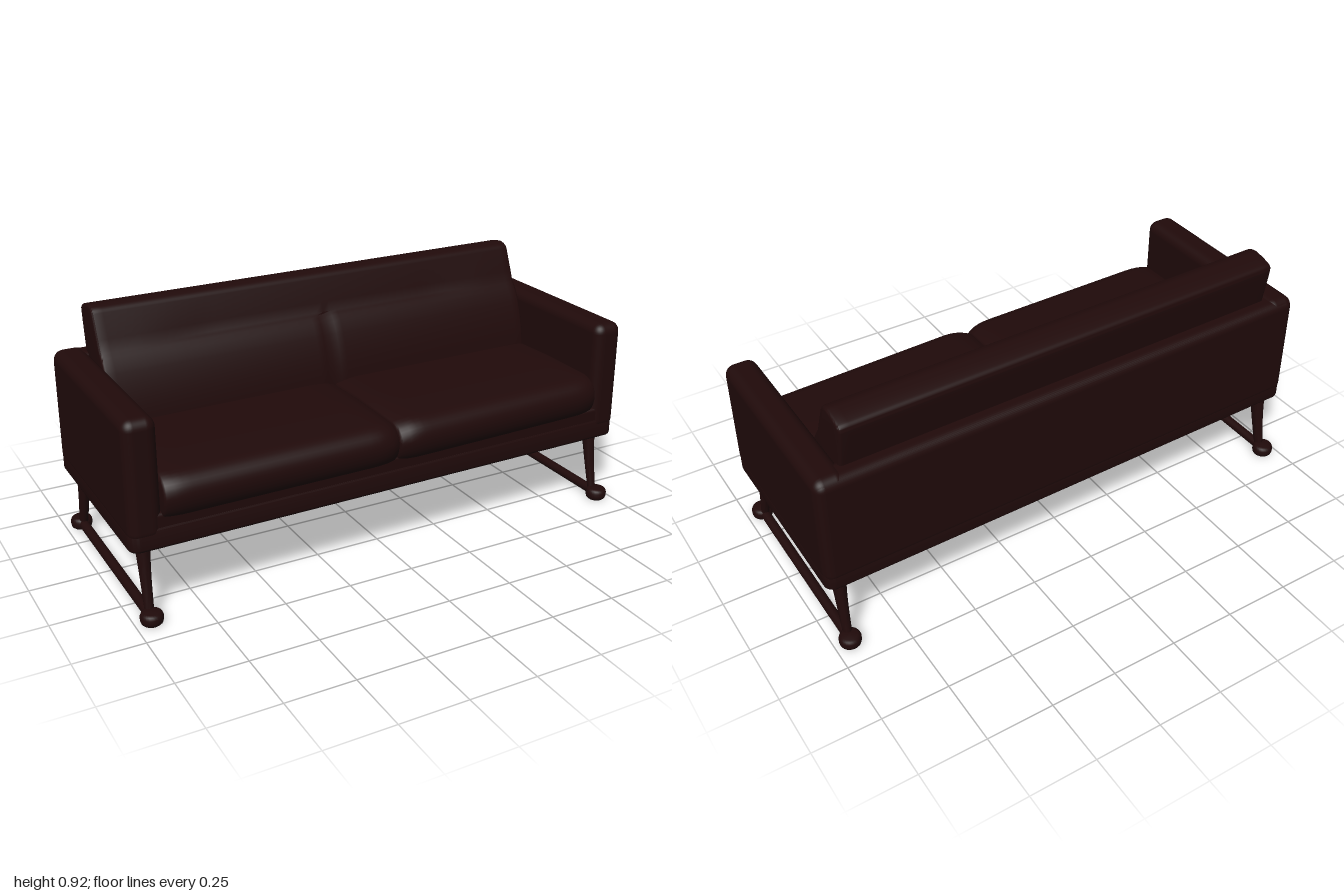
import * as THREE from 'three';
import { RoundedBoxGeometry } from 'three/addons/geometries/RoundedBoxGeometry.js';
import { toCreasedNormals } from 'three/addons/utils/BufferGeometryUtils.js';

const darkBrown = new THREE.MeshStandardMaterial({ color: 0x200a0a });
darkBrown.name = 'darkBrown';

// Move every vertex of a geometry by a rule
function warp(geo, rule) {
  const p = geo.attributes.position;
  const v = new THREE.Vector3();
  for (let i = 0; i < p.count; i++) {
    v.fromBufferAttribute(p, i);
    rule(v);
    p.setXYZ(i, v.x, v.y, v.z);
  }
  return geo;
}

// Rounded block given by its limits on each axis
function block([x0, x1], [y0, y1], [z0, z1], r) {
  return new RoundedBoxGeometry(x1 - x0, y1 - y0, z1 - z0, 4, r)
    .translate((x0 + x1) / 2, (y0 + y1) / 2, (z0 + z1) / 2);
}

// Side profile (z, y) swept along x between two limits, with softened ends
function sweep(shape, [x0, x1], steps, bevel) {
  return new THREE.ExtrudeGeometry(shape, {
    depth: x1 - x0 - 2 * bevel, steps, curveSegments: 8,
    bevelThickness: bevel, bevelSize: bevel, bevelOffset: -bevel, bevelSegments: 3,
  }).rotateY(-Math.PI / 2).translate(x1 - bevel, 0, 0);
}

// Trace a rounded rectangle centred on the origin
function roundedRect(path, hw, hh, r) {
  path.moveTo(hw, hh - r);
  path.absarc(hw - r, hh - r, r, 0, Math.PI / 2);
  path.absarc(r - hw, hh - r, r, Math.PI / 2, Math.PI);
  path.absarc(r - hw, r - hh, r, Math.PI, Math.PI * 1.5);
  path.absarc(hw - r, r - hh, r, Math.PI * 1.5, Math.PI * 2);
  return path;
}

// Hollow skirt around the underside
function skirtGeometry() {
  const bevel = 0.012, y0 = 0.272, y1 = 0.355;
  const s = roundedRect(new THREE.Shape(), 0.999, 0.388, 0.038);
  s.holes.push(roundedRect(new THREE.Path(), 0.962, 0.352, 0.02));
  const geo = new THREE.ExtrudeGeometry(s, {
    depth: y1 - y0 - 2 * bevel, curveSegments: 6,
    bevelThickness: bevel, bevelSize: bevel, bevelOffset: -bevel, bevelSegments: 3,
  }).rotateX(-Math.PI / 2).translate(0, y0 + bevel, 0);
  return toCreasedNormals(geo, 0.6);
}

// Leaning back cushion with a shallow tuck below the headrest and a centre seam
function backCushionGeometry() {
  const s = new THREE.Shape();
  s.moveTo(-0.29, 0.45);
  s.lineTo(-0.07, 0.45);
  s.quadraticCurveTo(-0.072, 0.58, -0.122, 0.7);
  s.quadraticCurveTo(-0.142, 0.745, -0.17, 0.775);
  s.lineTo(-0.184, 0.81);
  s.lineTo(-0.22, 0.895);
  s.quadraticCurveTo(-0.228, 0.916, -0.265, 0.919);
  s.quadraticCurveTo(-0.305, 0.914, -0.335, 0.903);
  s.quadraticCurveTo(-0.357, 0.896, -0.354, 0.875);
  s.quadraticCurveTo(-0.345, 0.8, -0.326, 0.7);
  s.closePath();
  const geo = sweep(s, [-0.887, 0.887], 60, 0.012);
  warp(geo, (v) => {
    if (v.z < -0.24) return;
    const tuck = Math.max(0, 1 - Math.abs(v.y - 0.79) / 0.04);
    const fade = 1 - THREE.MathUtils.smoothstep(Math.abs(v.x), 0.45, 0.75);
    v.z -= 0.014 * tuck * fade;
    if (Math.abs(v.x) < 0.01 && v.y < 0.77) v.z -= 0.008;
  });
  return toCreasedNormals(geo, 0.6);
}

// Seat cushion with a full rounded nose that eases away towards both ends
function seatCushionGeometry(span) {
  const s = new THREE.Shape();
  s.moveTo(-0.28, 0.38);
  s.lineTo(0.385, 0.38);
  s.bezierCurveTo(0.41, 0.385, 0.43, 0.42, 0.431, 0.458);
  s.bezierCurveTo(0.43, 0.495, 0.41, 0.525, 0.36, 0.533);
  s.lineTo(0.1, 0.536);
  s.lineTo(-0.28, 0.525);
  s.closePath();
  const geo = sweep(s, span, 30, 0.008);
  warp(geo, (v) => {
    const seam = Math.max(0, 1 - Math.abs(v.x) / 0.12) ** 3;
    const outer = Math.max(0, (Math.abs(v.x) - 0.78) / 0.105) ** 3;
    if (v.z > 0.3) v.z -= 0.022 * seam + 0.015 * outer + 0.02 * Math.max(0, v.x);
    if (v.y > 0.46) v.y -= 0.018 * seam + 0.005 * outer;
  });
  return toCreasedNormals(geo, 0.6);
}

// Tapered, curved leg that flares where it meets the frame; back legs are stouter
function legGeometry(side, end) {
  const geo = new THREE.CylinderGeometry(1, 1, 1, 18, 8);
  const front = end > 0;
  warp(geo, (v) => {
    const t = v.y + 0.5;
    const rx = 0.016 + 0.008 * t + 0.01 * t ** 4;
    const rz = front ? 0.013 + 0.014 * t : 0.018 + 0.018 * t;
    const z = (front ? 0.357 : 0.368) - 0.068 * t + 0.02 * t * t;
    v.set(side * (0.941 - 0.006 * t) + v.x * rx, 0.03 + 0.285 * t, end * z + v.z * rz);
  });
  return toCreasedNormals(geo, 0.8);
}

// Round foot disc with soft edges
function footGeometry() {
  const pts = [[0, 0.004], [0.03, 0.004], [0.037, 0.01], [0.04, 0.02], [0.04, 0.034],
    [0.036, 0.044], [0.028, 0.049], [0, 0.05]].map(([x, y]) => new THREE.Vector2(x, y));
  return new THREE.LatheGeometry(pts, 24);
}

export function createModel() {
  const sofa = new THREE.Group();
  sofa.name = 'sofa';

  // All parts share a slight skew in plan
  const add = (name, geo) => {
    warp(geo, (v) => { v.z -= 0.016 * v.x; });
    const mesh = new THREE.Mesh(geo, darkBrown);
    mesh.name = name;
    sofa.add(mesh);
  };

  // Upholstered frame, recessed underneath, and one-piece back cushion
  add('seatBase', block([-0.92, 0.92], [0.305, 0.4], [-0.36, 0.386], 0.012));
  add('backPanel', block([-0.998, 0.998], [0.305, 0.732], [-0.39, -0.285], 0.035));
  add('skirt', skirtGeometry());
  add('backCushion', backCushionGeometry());

  for (const side of [-1, 1]) {
    const left = side > 0;
    const span = (a, b) => (left ? [a, b] : [-b, -a]);

    // Arms and seat cushions
    add(left ? 'leftArm' : 'rightArm',
      block(span(0.882, 1), [0.305, 0.737], [-0.388, 0.39], 0.038));
    add(left ? 'leftSeatCushion' : 'rightSeatCushion', seatCushionGeometry(span(0.001, 0.885)));

    // Sled legs with a floor rail
    for (const end of [-1, 1]) {
      const name = (end > 0 ? 'front' : 'back') + (left ? 'Left' : 'Right');
      add(name + 'Leg', legGeometry(side, end));
      add(name + 'Foot', footGeometry().translate(side * 0.943, 0, end * 0.386 - 0.004));
    }
    add(left ? 'leftFloorRail' : 'rightFloorRail',
      new THREE.CylinderGeometry(0.018, 0.018, 0.76, 16)
        .rotateX(Math.PI / 2).translate(side * 0.943, 0.027, 0));
  }

  return sofa;
}
